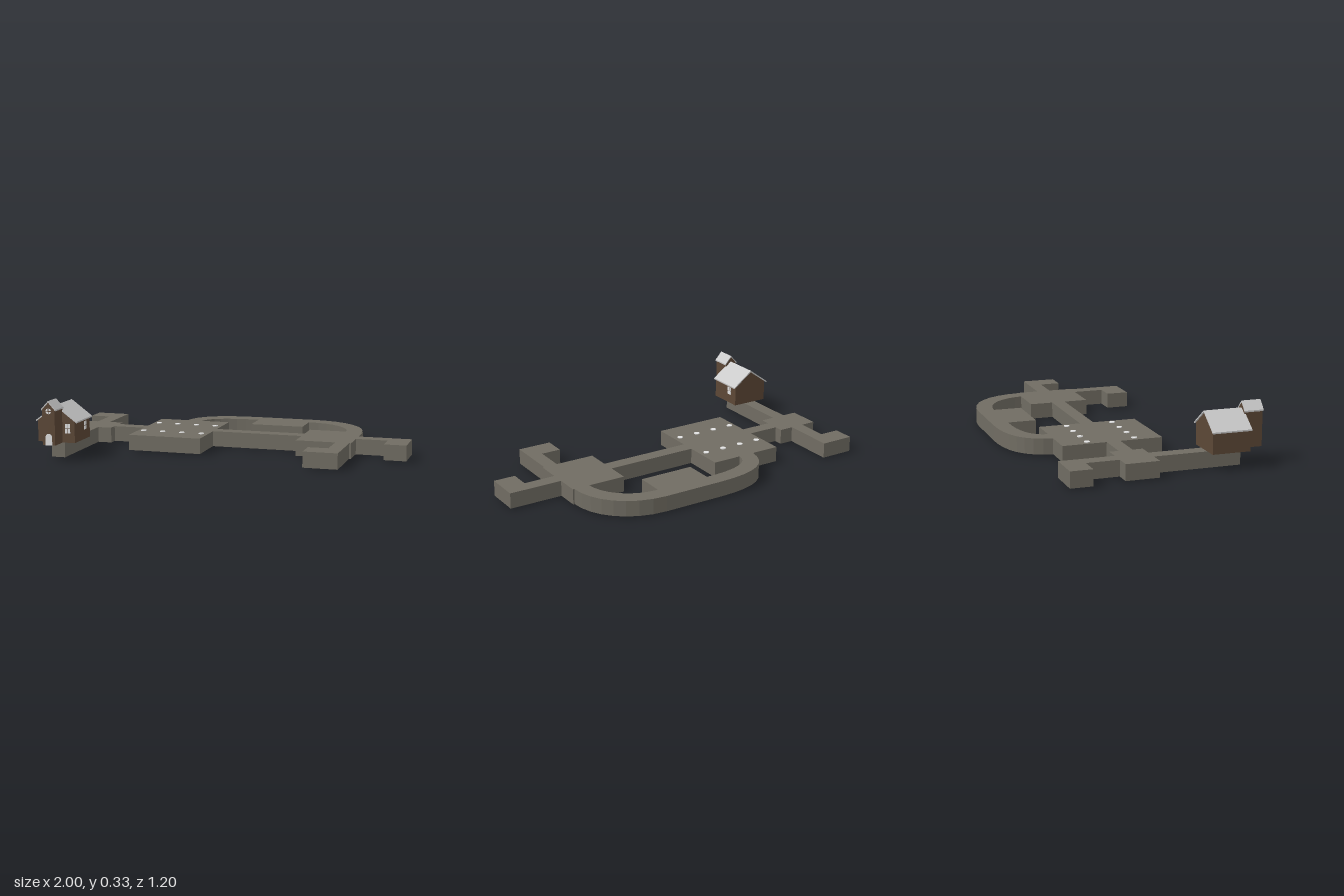
import * as THREE from 'three';

const mat = (name, color, side = THREE.FrontSide) => {
  const m = new THREE.MeshStandardMaterial({ color, side });
  m.name = name;
  return m;
};

export function createModel() {
  const stone = mat('stone', 0x706c62);
  const wood = mat('brown wood', 0x5c4736, THREE.DoubleSide);
  const slate = mat('pale roof', 0xc8c8c8);
  const white = mat('white', 0xe2e2e2);
  const Y0 = 0.005, Y1 = 0.092;
  const model = new THREE.Group();

  const add = (parent, name, geometry, material) => {
    const mesh = new THREE.Mesh(geometry, material);
    mesh.name = name;
    parent.add(mesh);
    return mesh;
  };
  const box = (parent, name, material, x0, x1, y0, y1, z0, z1) =>
    add(parent, name, new THREE.BoxGeometry(x1 - x0, y1 - y0, z1 - z0), material)
      .position.set((x0 + x1) / 2, (y0 + y1) / 2, (z0 + z1) / 2);

  // Rooms and straight corridors: name, x range, z range
  const dungeon = new THREE.Group();
  dungeon.name = 'dungeon';
  model.add(dungeon);
  [
    ['pillarHall', -0.55, -0.13, -0.375, 0.18],
    ['middleCorridor', -0.13, 0.39, -0.14, -0.063],
    ['leftRoom', 0.39, 0.70, -0.27, 0.072],
    ['leftCorridor', 0.70, 1.0, -0.14, -0.063],
    ['leftAlcove', 0.877, 1.0, -0.063, 0.052],
    ['frontCorridor', 0.612, 0.69, 0.072, 0.37],
    ['frontAlcove', 0.50, 0.612, 0.245, 0.37],
    ['rightCorridor', -0.73, -0.55, -0.132, -0.056],
    ['rightRoom', -0.97, -0.73, -0.182, 0],
    ['chapelCorridor', -0.887, -0.81, 0, 0.477],
    ['backCorridor', -0.887, -0.81, -0.48, -0.182],
    ['backAlcove', -1.0, -0.887, -0.48, -0.36],
    ['backRoom', 0.017, 0.327, -0.51, -0.35],
  ].forEach(([name, x0, x1, z0, z1]) => box(dungeon, name, stone, x0, x1, Y0, Y1, z0, z1));

  // Curved corridor, drawn in plan with shape y = -z
  const plan = new THREE.Shape();
  plan.moveTo(-0.388, 0.37);
  plan.bezierCurveTo(-0.37, 0.53, -0.25, 0.6, -0.02, 0.602);
  plan.lineTo(0.33, 0.602);
  plan.bezierCurveTo(0.55, 0.6, 0.69, 0.45, 0.692, 0.265);
  plan.lineTo(0.602, 0.265);
  plan.bezierCurveTo(0.60, 0.39, 0.49, 0.51, 0.33, 0.51);
  plan.lineTo(0.0, 0.51);
  plan.bezierCurveTo(-0.17, 0.51, -0.29, 0.47, -0.296, 0.37);
  plan.closePath();
  const curve = new THREE.ExtrudeGeometry(plan, { depth: Y1 - Y0, bevelEnabled: false, curveSegments: 8 });
  curve.rotateX(-Math.PI / 2).translate(0, Y0, 0);
  add(dungeon, 'curvedCorridor', curve, stone);

  // Pillars standing through the hall
  for (const x of [-0.515, -0.4, -0.284, -0.169])
    for (const z of [-0.23, 0.034])
      add(model, 'pillar', new THREE.CylinderGeometry(0.016, 0.016, 0.096, 12), white).position.set(x, 0.048, z);

  // Chapel, built about its own centre line
  const chapel = new THREE.Group();
  chapel.name = 'chapel';
  chapel.position.x = -0.848;
  model.add(chapel);

  // Walls are open underneath: two gables and two sides
  const walls = (name, w, eave, peak, z0, z1) => {
    const gable = new THREE.Shape([[-w, Y1], [w, Y1], [w, eave], [0, peak], [-w, eave]]
      .map(([x, y]) => new THREE.Vector2(x, y)));
    add(chapel, name + 'FrontWall', new THREE.ShapeGeometry(gable), wood).position.z = z1;
    const back = add(chapel, name + 'BackWall', new THREE.ShapeGeometry(gable), wood);
    back.rotation.y = Math.PI;
    back.position.z = z0;
    for (const s of [-1, 1]) {
      const side = add(chapel, name + 'SideWall', new THREE.PlaneGeometry(z1 - z0, eave - Y1), wood);
      side.rotation.y = s * Math.PI / 2;
      side.position.set(s * w, (eave + Y1) / 2, (z0 + z1) / 2);
    }
  };
  // Roofs are thin folded slabs
  const roof = (name, w, eave, peak, t, z0, z1) => {
    const fold = new THREE.Shape([[-w, eave], [0, peak - t], [w, eave], [w, eave + t], [0, peak], [-w, eave + t]]
      .map(([x, y]) => new THREE.Vector2(x, y)));
    const g = new THREE.ExtrudeGeometry(fold, { depth: z1 - z0, bevelEnabled: false });
    add(chapel, name, g, slate).position.z = z0;
  };
  walls('nave', 0.108, 0.21, 0.288, 0.291, 0.50);
  roof('naveRoof', 0.12, 0.202, 0.298, 0.008, 0.284, 0.502);
  walls('tower', 0.036, 0.288, 0.324, 0.495, 0.598);
  roof('towerRoof', 0.042, 0.28, 0.334, 0.008, 0.494, 0.601);

  // Four-pane window facing +z, centred on its group
  const paneWindow = (x, y, z, w, h, turn) => {
    const g = new THREE.Group();
    g.name = 'window';
    for (const sx of [-1, 1])
      for (const sy of [-1, 1])
        add(g, 'pane', new THREE.BoxGeometry(w / 2 - 0.003, h / 2 - 0.003, 0.004), white)
          .position.set(sx * w / 4, sy * h / 4, 0);
    g.position.set(x, y, z);
    g.rotation.y = turn;
    chapel.add(g);
  };
  for (const s of [-1, 1]) paneWindow(s * 0.067, 0.17, 0.50, 0.033, 0.055, 0);
  paneWindow(0.108, 0.168, 0.355, 0.034, 0.048, Math.PI / 2);

  // Arched door
  const arch = new THREE.Shape();
  arch.moveTo(-0.019, Y1);
  arch.lineTo(0.019, Y1);
  arch.lineTo(0.019, 0.136);
  arch.absarc(0, 0.136, 0.019, 0, Math.PI);
  arch.closePath();
  add(chapel, 'door', new THREE.ExtrudeGeometry(arch, { depth: 0.002, bevelEnabled: false }), white)
    .position.z = 0.598;

  // Round window with crossing bars
  add(chapel, 'roundWindow', new THREE.CircleGeometry(0.016, 20), white).position.set(0, 0.278, 0.599);
  box(chapel, 'windowBar', wood, -0.016, 0.016, 0.276, 0.28, 0.598, 0.6);
  box(chapel, 'windowBar', wood, -0.002, 0.002, 0.262, 0.294, 0.598, 0.6);

  return model;
}
